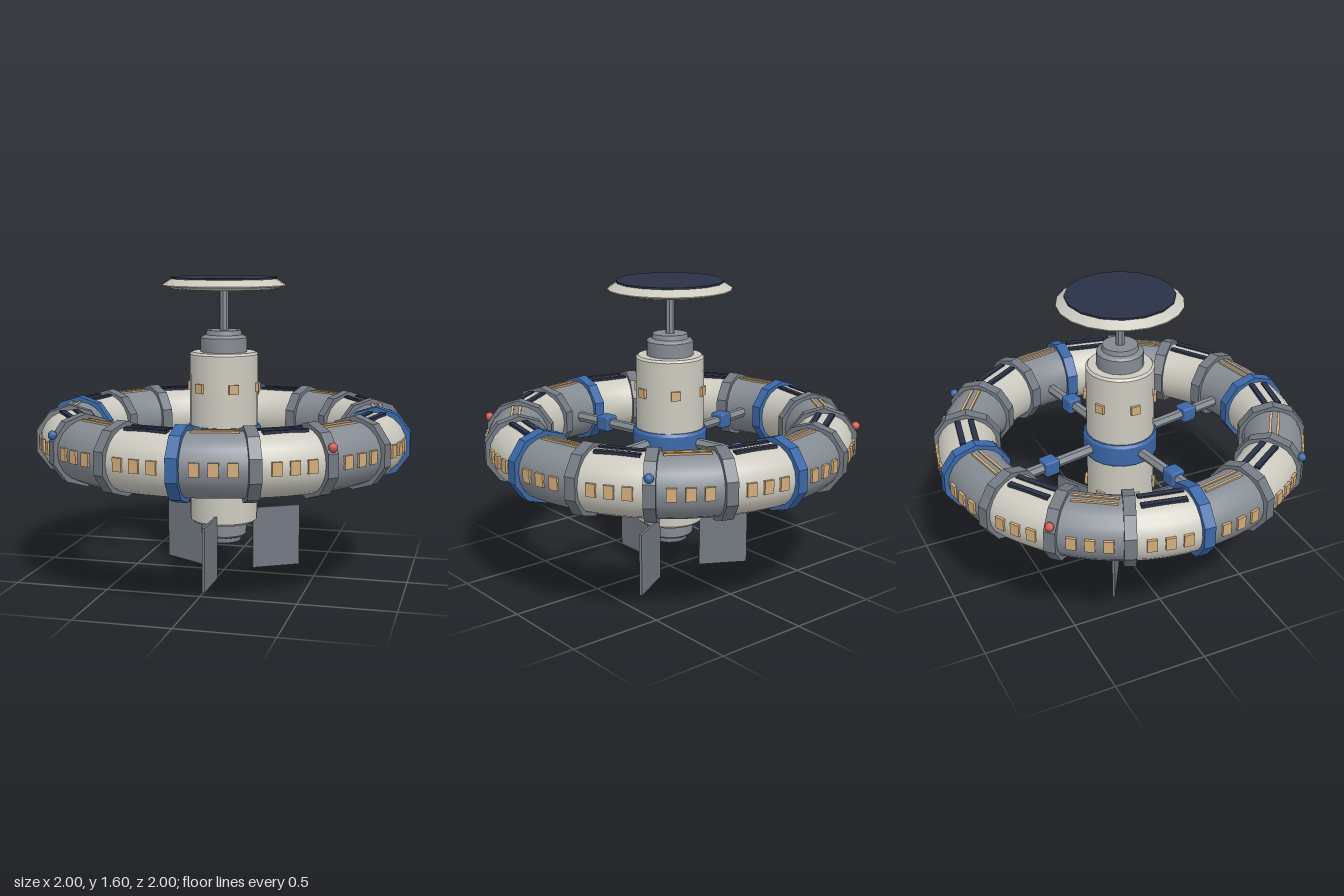
import * as THREE from 'three';
import { toCreasedNormals } from 'three/addons/utils/BufferGeometryUtils.js';
import { RoundedBoxGeometry } from 'three/addons/geometries/RoundedBoxGeometry.js';

const paint = (name, color, flat = false) => {
  const m = new THREE.MeshStandardMaterial({ color, flatShading: flat });
  m.name = name;
  return m;
};
const cream = paint('creamHull', 0xcccabf);
const grey = paint('greyHull', 0x858b93);
const trim = paint('greyTrim', 0x737982);
const blue = paint('blueTrim', 0x3b68a8);
const navy = paint('navyPanel', 0x2a3146);
const tan = paint('tanWindow', 0xd2ad7a);
const red = paint('redLamp', 0xcc5a4e);

const RING_Y = 0.75, RING_R = 0.82, TUBE_R = 0.16;
const STEP = Math.PI / 8;

export function createModel() {
  const model = new THREE.Group();
  model.name = 'spaceStation';

  const add = (parent, name, geometry, material, x = 0, y = 0, z = 0) => {
    const mesh = new THREE.Mesh(geometry, material);
    mesh.name = name;
    mesh.position.set(x, y, z);
    parent.add(mesh);
    return mesh;
  };
  // Group turned so that its local +x points outward at the given angle (0 = +x, 90 degrees = +z)
  const spoked = (name, angle, y = 0) => {
    const g = new THREE.Group();
    g.name = name;
    g.position.y = y;
    g.rotation.y = -angle;
    model.add(g);
    return g;
  };
  const lathe = (points, sides) => toCreasedNormals(
    new THREE.LatheGeometry(points.map(([r, y]) => new THREE.Vector2(r, y)), sides), 0.5);

  // Ring: alternating cream and grey segments with windows and roof strips
  const tube = new THREE.TorusGeometry(RING_R, TUBE_R, 20, 4, STEP).rotateX(Math.PI / 2);
  const ringWindow = new THREE.BoxGeometry(0.025, 0.066, 0.05);
  const solarStrip = new THREE.BoxGeometry(0.03, 0.016, 0.23);
  const lightStrip = new THREE.BoxGeometry(0.014, 0.014, 0.23);
  for (let i = 0; i < 16; i++) {
    const isCream = i % 2 === 0;
    const segment = spoked('ringSegment', i * STEP, RING_Y);
    add(segment, 'segmentHull', tube, isCream ? cream : grey);

    const details = spoked('segmentDetails', (i + 0.5) * STEP, RING_Y);
    for (const side of [-1, 1]) {
      if (isCream) add(details, 'solarStrip', solarStrip, navy, RING_R + side * 0.035, 0.157, 0);
      else add(details, 'lightStrip', lightStrip, tan, RING_R + side * 0.02, 0.158, 0);
    }
    for (const k of [-1, 0, 1]) {
      const a = k * 0.092;
      const w = add(details, 'ringWindow', ringWindow, tan, 0.975 * Math.cos(a), 0.005, 0.975 * Math.sin(a));
      w.rotation.y = -a;
    }
  }

  // Ten-sided collars over every joint, blue at the four quarters
  const collarGeo = r => toCreasedNormals(
    new THREE.CylinderGeometry(r, r, 0.06, 10).rotateX(Math.PI / 2), 0.3);
  const blueCollar = collarGeo(0.188), greyCollar = collarGeo(0.186);
  for (let i = 0; i < 16; i++) {
    const quarter = i % 4 === 0;
    const joint = spoked('ringJoint', i * STEP, RING_Y);
    add(joint, 'collar', quarter ? blueCollar : greyCollar, quarter ? blue : trim, RING_R);
  }

  // Navigation lamps on the diagonal joints
  const lampGeo = new THREE.SphereGeometry(0.024, 8, 6);
  for (let i = 0; i < 4; i++) {
    const lamp = spoked('navigationLamp', Math.PI / 4 + i * Math.PI / 2, RING_Y);
    add(lamp, 'lamp', lampGeo, i % 2 ? blue : red, 0.99, 0.087, 0);
  }

  // Spokes with blue junction boxes
  const spokeGeo = toCreasedNormals(
    new THREE.CylinderGeometry(0.028, 0.028, 0.52, 6).rotateZ(Math.PI / 2), 0.3);
  const junctionGeo = new RoundedBoxGeometry(0.085, 0.085, 0.085, 1, 0.012);
  for (let i = 0; i < 4; i++) {
    const arm = spoked('spoke', -STEP / 2 + i * Math.PI / 2, RING_Y);
    add(arm, 'spokeBeam', spokeGeo, grey, 0.42);
    add(arm, 'junctionBox', junctionGeo, blue, 0.46);
  }

  // Central hub with its blue band and end caps
  add(model, 'hub', lathe([[0, 0.285], [0.17, 0.285], [0.182, 0.297], [0.182, 1.193], [0.17, 1.205], [0, 1.205]], 24), cream);
  add(model, 'hubBand', lathe([[0.17, 0.685], [0.19, 0.685], [0.2, 0.7], [0.2, 0.8], [0.19, 0.815], [0.17, 0.815]], 20), blue);
  const cap = [[0.125, 0], [0.125, 0.075], [0.115, 0.085], [0.098, 0.09], [0.093, 0.115], [0, 0.115]];
  const capGeo = lathe(cap, 16);
  add(model, 'topCap', capGeo, grey, 0, 1.205, 0);
  add(model, 'bottomCap', capGeo, grey, 0, 0.29, 0).rotation.x = Math.PI;

  // Two rows of six hub windows
  const hubWindow = new THREE.BoxGeometry(0.022, 0.048, 0.05);
  for (const y of [0.475, 1.02]) {
    for (let i = 0; i < 6; i++) {
      add(spoked('hubWindowMount', i * Math.PI / 3, y), 'hubWindow', hubWindow, tan, 0.183);
    }
  }

  // Mast and dish
  add(model, 'mast', toCreasedNormals(new THREE.CylinderGeometry(0.024, 0.024, 0.26, 8), 0.3), grey, 0, 1.425, 0);
  add(model, 'dish', lathe([[0, 1.537], [0.27, 1.537], [0.328, 1.553], [0.328, 1.558], [0.28, 1.59], [0, 1.59]], 20), cream);
  add(model, 'dishPanel', toCreasedNormals(new THREE.CylinderGeometry(0.284, 0.284, 0.009, 16), 0.5), navy, 0, 1.5955, 0);

  // Three radiator fins around the hub base
  const finGeo = new THREE.BoxGeometry(0.27, 0.34, 0.014);
  for (let i = 0; i < 3; i++) {
    add(spoked('finMount', Math.PI / 2 + i * Math.PI * 2 / 3), 'radiatorFin', finGeo, trim, 0.3, 0.17, 0);
  }

  return model;
}
